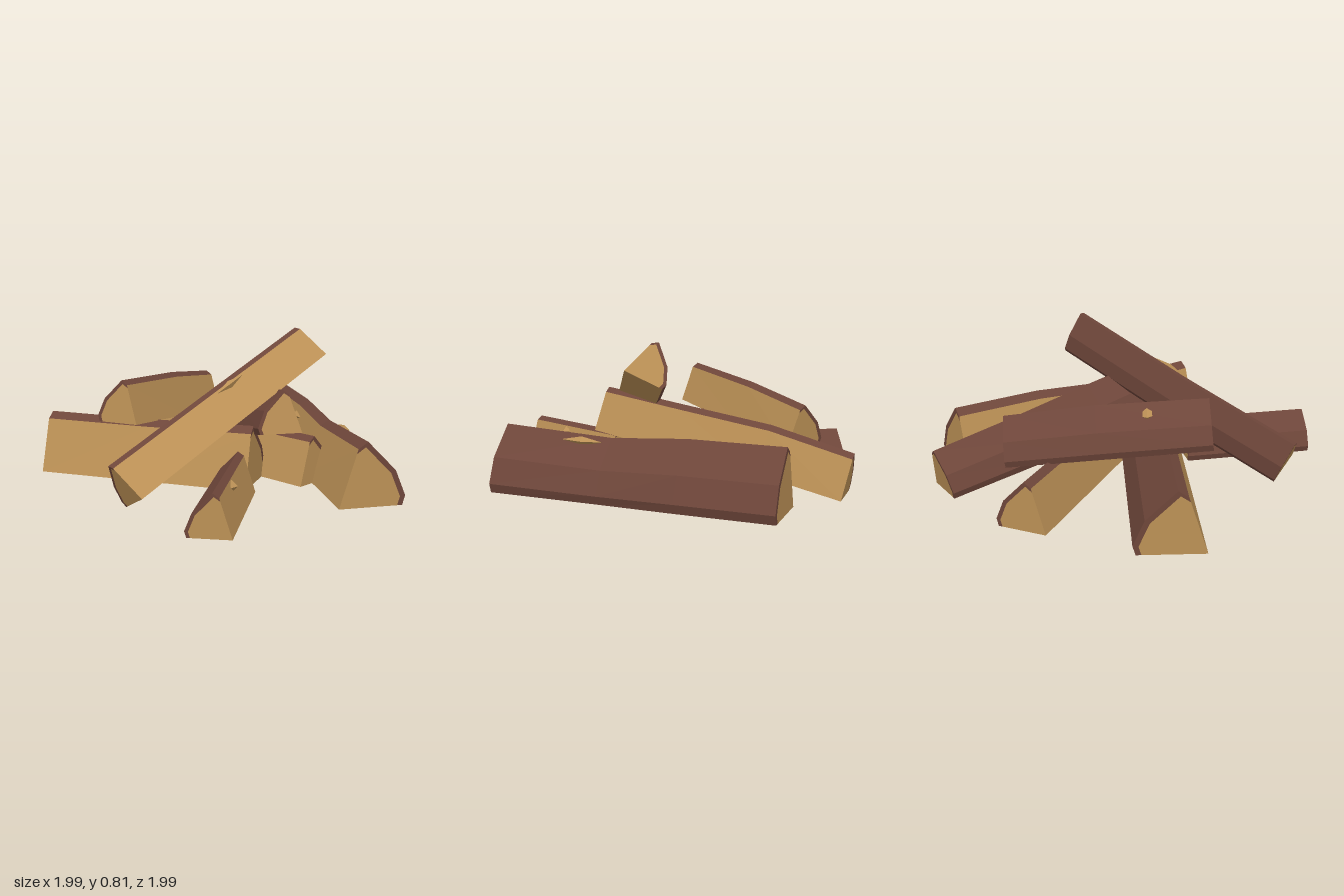
import * as THREE from 'three';

const bark = new THREE.MeshStandardMaterial({ color: 0x6e463a, side: THREE.DoubleSide });
bark.name = 'bark';
const wood = new THREE.MeshStandardMaterial({ color: 0xbc9156, side: THREE.DoubleSide });
wood.name = 'splitWood';

// Split-log cross-section: heart corner first, then the bark arc.
const SECTION = [[0, 0], [0.095, 0.305], [0.145, 0.34], [0.295, 0.185], [0.35, 0.05], [0.335, 0]];
// The wood on a sawn end stops short of the bark rim.
const RIM = 0.92;

// from/to: heart edge ends; hand: which side the bark lies on; tall: height factor
// bends: [t, sideways, lift]; knots: [t, section index, half length, half width];
// closed: has an underside (the others are hollow below)
const LOGS = [
  { name: 'backLog', from: [-0.5, 0.005, -0.7], to: [0.8, 0.005, 0.18], hand: -1, size: 1,
    bends: [[0.33, 0.005, 0], [0.6, 0, -0.03]], knots: [[0.7, 2.25, 0.12, 0.024], [0.33, 0.85, 0.09, 0.025]] },
  { name: 'frontLog', from: [-0.845, 0.005, 0.795], to: [0.256, 0.005, 0.28], hand: -1, size: 1.01, tall: 0.94,
    bends: [[0.5, 0, -0.005]], knots: [] },
  { name: 'crossLog', from: [-0.98, 0.005, 0.02], to: [0.42, 0.005, 0.02], hand: -1, size: 0.77,
    bends: [], knots: [] },
  { name: 'leaningLog', from: [0.205, 0.11, 0.95], to: [0.3, 0.675, -0.335], hand: -1, size: 0.65, roll: 0.5,
    bends: [[0.5, 0.012, 0]], knots: [[0.58, 1, 0.1, 0.02]], closed: true },
  { name: 'shortLog', from: [0.3, 0.005, 0.25], to: [0.71, 0.005, 0.85], hand: 1, size: 0.64,
    bends: [], knots: [[0.6, 0.9, 0.04, 0.032]] },
  { name: 'diagonalLog', from: [-0.73, 0.035, -0.76], to: [0.41, 0.3, 0], hand: 1, size: 0.69,
    bends: [[0.33, 0.045, 0.02], [0.68, 0.015, 0.01]], knots: [] },
  { name: 'topLog', from: [-0.58, 0.23, -0.37], to: [-0.23, 0.345, 0.61], hand: 1, size: 0.68,
    bends: [[0.45, 0, 0.015]], knots: [[0.7, 2.35, 0.05, 0.038]] },
];

function buildLog({ name, from, to, hand, size, tall = 1, roll = 0, bends, knots, closed = false }) {
  const group = new THREE.Group();
  group.name = name;
  const start = new THREE.Vector3(...from), end = new THREE.Vector3(...to);
  const dir = end.clone().sub(start).normalize();

  // Local axes of the cross-section
  const side0 = dir.clone().cross(new THREE.Vector3(0, 1, 0)).normalize().multiplyScalar(hand);
  const up0 = side0.clone().cross(dir).multiplyScalar(hand);
  const c = Math.cos(roll), s = Math.sin(roll);
  const side = side0.clone().multiplyScalar(c).addScaledVector(up0, -s);
  const up = up0.clone().multiplyScalar(c).addScaledVector(side0, s);

  const place = (t, u, v, shift = 0, lift = 0) => start.clone().lerp(end, t)
    .addScaledVector(side, u * size + shift)
    .addScaledVector(up, v * size * tall + lift * v / 0.34);
  const rings = [[0, 0, 0], ...bends, [1, 0, 0]]
    .map(([t, shift, lift]) => SECTION.map(([u, v]) => place(t, u, v, shift, lift)));

  const barkPos = [], woodPos = [];
  const tri = (out, a, b, d) => {
    for (const p of hand < 0 ? [a, b, d] : [a, d, b]) out.push(p.x, p.y, p.z);
  };
  const n = SECTION.length;
  const faces = closed ? n : n - 1;
  for (let r = 0; r + 1 < rings.length; r++) {
    for (let i = 0; i < faces; i++) {
      const out = i === 0 || i === n - 1 ? woodPos : barkPos;
      const j = (i + 1) % n, A = rings[r], B = rings[r + 1];
      tri(out, A[i], B[i], B[j]);
      tri(out, A[i], B[j], A[j]);
    }
  }

  // Sawn ends: a wood fan inside a rim of bark
  for (const [ring, flip] of [[rings[0], false], [rings[rings.length - 1], true]]) {
    const inner = ring.map((p) => ring[0].clone().lerp(p, RIM));
    for (let k = 1; k + 1 < n; k++) {
      const [i, j] = flip ? [k + 1, k] : [k, k + 1];
      tri(woodPos, ring[0], inner[i], inner[j]);
      tri(barkPos, inner[i], ring[i], ring[j]);
      tri(barkPos, inner[i], ring[j], inner[j]);
    }
  }

  for (const [part, pos, material] of [['bark', barkPos, bark], ['splitFaces', woodPos, wood]]) {
    const geometry = new THREE.BufferGeometry();
    geometry.setAttribute('position', new THREE.Float32BufferAttribute(pos, 3));
    geometry.computeVertexNormals();
    const mesh = new THREE.Mesh(geometry, material);
    mesh.name = part;
    group.add(mesh);
  }

  // Small faceted knots, mostly sunk into the surface
  const basis = new THREE.Matrix4().makeBasis(dir, side, dir.clone().cross(side));
  for (const [t, index, length, width] of knots) {
    const i = Math.floor(index), f = index - i;
    const u = THREE.MathUtils.lerp(SECTION[i][0], SECTION[i + 1][0], f);
    const v = THREE.MathUtils.lerp(SECTION[i][1], SECTION[i + 1][1], f);
    const knot = new THREE.Mesh(new THREE.OctahedronGeometry(1), wood);
    knot.name = 'knot';
    knot.scale.set(length, width, width);
    knot.quaternion.setFromRotationMatrix(basis);
    knot.position.copy(place(t, u, v)).addScaledVector(up, -0.012);
    group.add(knot);
  }
  return group;
}

export function createModel() {
  const pile = new THREE.Group();
  pile.name = 'firewoodPile';
  for (const log of LOGS) pile.add(buildLog(log));
  return pile;
}
